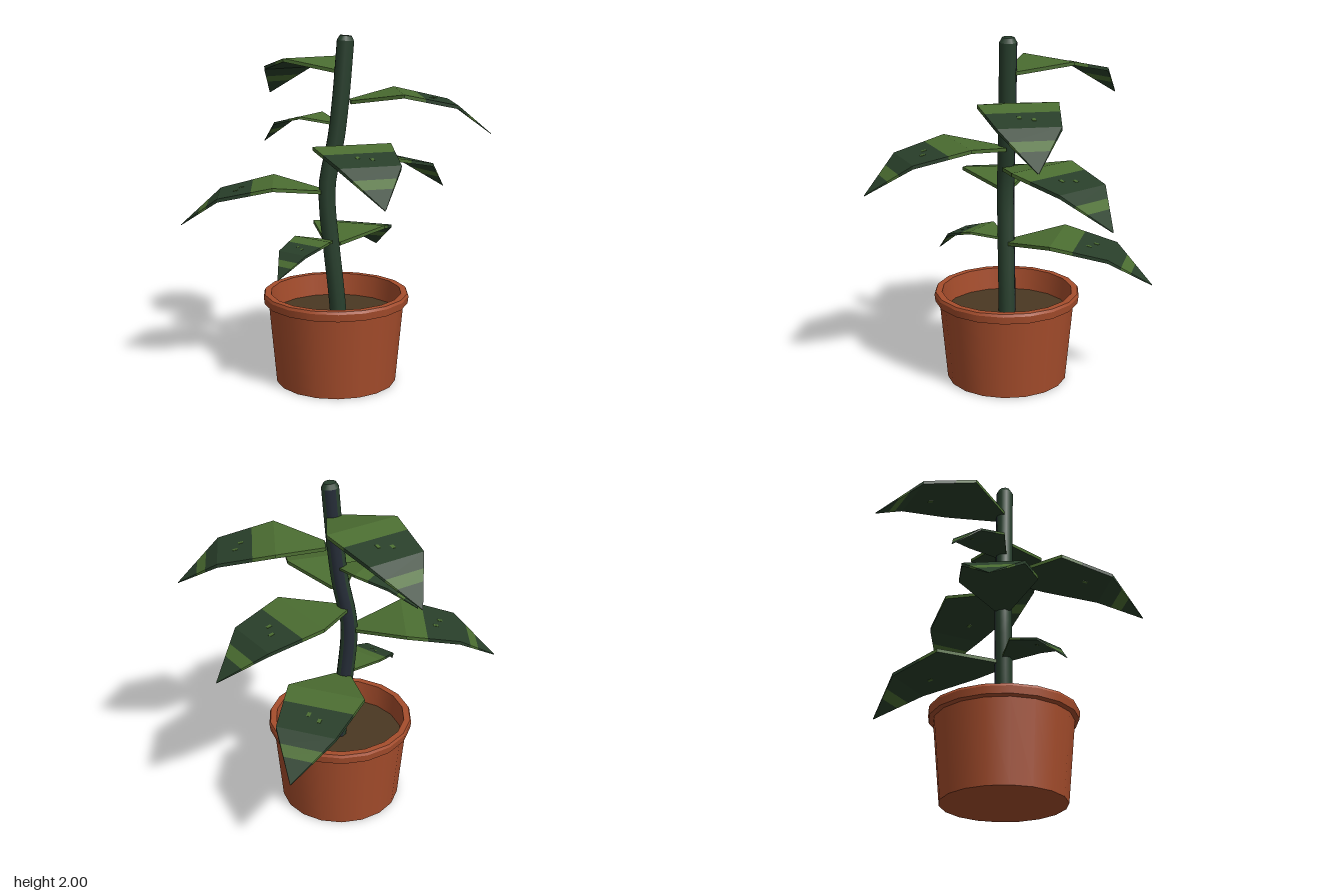
import * as THREE from 'three';

const mat = (name, color) => {
  const m = new THREE.MeshStandardMaterial({ color });
  m.name = name;
  return m;
};

export function createModel() {
  const terracotta = mat('terracotta', 0xa64d2c);
  const soilBrown = mat('soil brown', 0x4a3822);
  const stemGreen = mat('stem green', 0x283f2d);
  const stemShade = mat('stem slate', 0x262d38);
  const lightGreen = mat('light leaf green', 0x4b6d31);
  const darkGreen = mat('dark leaf green', 0x293f2a);

  const root = new THREE.Group();
  root.name = 'pottedPlant';
  const add = (parent, name, geometry, material) => {
    const mesh = new THREE.Mesh(geometry, material);
    mesh.name = name;
    parent.add(mesh);
    return mesh;
  };

  // Pot: one ring of faces per profile step, so the rim edges stay sharp
  const pot = new THREE.Group();
  pot.name = 'pot';
  pot.position.z = -0.01;
  root.add(pot);
  const ring = (name, r0, y0, r1, y1, material) => add(pot, name,
    new THREE.LatheGeometry([new THREE.Vector2(r0, y0), new THREE.Vector2(r1, y1)], 18), material);
  const profile = [[0, 0], [0.35, 0], [0.392, 0.465], [0.417, 0.473], [0.422, 0.515],
    [0.415, 0.53], [0.378, 0.53], [0.363, 0.38]];
  const names = ['potBase', 'potWall', 'rimUnderside', 'rimSide', 'rimBevel', 'rimTop', 'potInside'];
  names.forEach((n, i) => ring(n, ...profile[i], ...profile[i + 1], terracotta));
  ring('soil', 0.37, 0.4, 0, 0.4, soilBrown);

  // Stem: a gently bent tube, with a slate strip along its back
  const path = new THREE.CatmullRomCurve3([
    [0.015, 0.38], [0, 0.55], [-0.027, 0.8], [-0.05, 1.05], [-0.047, 1.18],
    [0, 1.42], [0.027, 1.65], [0.053, 1.97],
  ].map(([x, y]) => new THREE.Vector3(x, y, -0.01)));
  const tube = new THREE.TubeGeometry(path, 24, 0.05, 10);
  const front = [], back = [];
  const normal = tube.attributes.normal;
  for (let i = 0; i < tube.index.count; i += 6) {
    const face = Array.from(tube.index.array.slice(i, i + 6));
    const nz = face.reduce((sum, v) => sum + normal.getZ(v), 0) / 6;
    (nz < -0.75 ? back : front).push(...face);
  }
  tube.setIndex([...front, ...back]);
  tube.addGroup(0, front.length, 0);
  tube.addGroup(front.length, back.length, 1);
  add(root, 'stem', tube, [stemGreen, stemShade]);
  const cap = add(root, 'stemTip', new THREE.CylinderGeometry(0.034, 0.05, 0.028, 10), stemGreen);
  cap.position.set(0.054, 1.983, -0.01);
  cap.rotation.z = -0.08;

  // Leaf cross-sections: distance out, height, half width, half thickness
  const keys = [[0.02, 0, 0.045, 0.01], [0.29, 0.05, 0.217, 0.01],
    [0.595, -0.018, 0.165, 0.01], [0.815, -0.192, 0.002, 0.002]];
  const sectionAt = (r) => {
    let i = 0;
    while (i < keys.length - 2 && r > keys[i + 1][0]) i++;
    const t = (r - keys[i][0]) / (keys[i + 1][0] - keys[i][0]);
    return keys[i].map((v, k) => THREE.MathUtils.lerp(v, keys[i + 1][k], t));
  };
  const corners = ([r, y, w, h]) => [[r, y + h, -w], [r, y + h, w], [r, y - h, w], [r, y - h, -w]];

  // Leaf blade: light and dark bands on top, mostly dark underneath
  const stops = [0.02, 0.29, 0.41, 0.595, 0.66, 0.71, 0.815];
  const topColour = [0, 0, 1, 1, 0, 1];
  const underColour = [1, 1, 1, 1, 0, 1];
  const leafGeometry = () => {
    const pos = [];
    const geo = new THREE.BufferGeometry();
    const rings = stops.map((r) => corners(sectionAt(r)));
    for (let i = 0; i < stops.length - 1; i++) {
      const [p, q] = [rings[i], rings[i + 1]];
      for (let k = 0; k < 4; k++) {
        const n = (k + 1) % 4;
        geo.addGroup(pos.length / 3, 6, k === 2 ? underColour[i] : topColour[i]);
        pos.push(...p[k], ...p[n], ...q[n], ...p[k], ...q[n], ...q[k]);
      }
    }
    // Close the stalk end
    const [a, b, c, d] = rings[0];
    geo.addGroup(pos.length / 3, 6, 0);
    pos.push(...c, ...b, ...a, ...d, ...c, ...a);
    geo.setAttribute('position', new THREE.Float32BufferAttribute(pos, 3));
    geo.computeVertexNormals();
    return geo;
  };
  const blade = leafGeometry();
  const spot = new THREE.BoxGeometry(0.028, 0.004, 0.02);

  // Leaves: base x, base y, tip x, tip z
  const leaves = [
    [0.06, 1.63, 0.885, -0.05], [-0.065, 1.12, -0.885, -0.01],
    [0.0, 1.37, 0.22, 0.795], [0.045, 1.8, -0.385, -0.71],
    [-0.025, 0.81, 0.285, -0.8], [-0.03, 1.25, 0.67, -0.48],
    [0.01, 1.507, -0.41, -0.265], [-0.03, 0.83, -0.33, 0.355],
  ];
  leaves.forEach(([bx, by, tx, tz], i) => {
    const leaf = new THREE.Group();
    leaf.name = `leaf${i + 1}`;
    const dx = tx - bx, dz = tz + 0.01;
    leaf.position.set(bx, by, -0.01);
    leaf.rotation.y = Math.atan2(-dz, dx);
    const s = Math.hypot(dx, dz) / 0.815;
    leaf.scale.set(s, s > 0.8 ? 1 : 0.7, s);
    add(leaf, 'leafBlade', blade, [lightGreen, darkGreen]);
    // Small pale spots on the dark areas, above and below
    for (const [out, across, side] of [[0.47, 0.03, 1], [0.5, -0.04, 1], [0.47, 0.03, -1]]) {
      const [r, y, , h] = sectionAt(out);
      const dot = add(leaf, 'leafSpot', spot, lightGreen);
      dot.position.set(r, y + side * h, across);
      dot.rotation.z = -0.22;
    }
    root.add(leaf);
  });

  return root;
}
